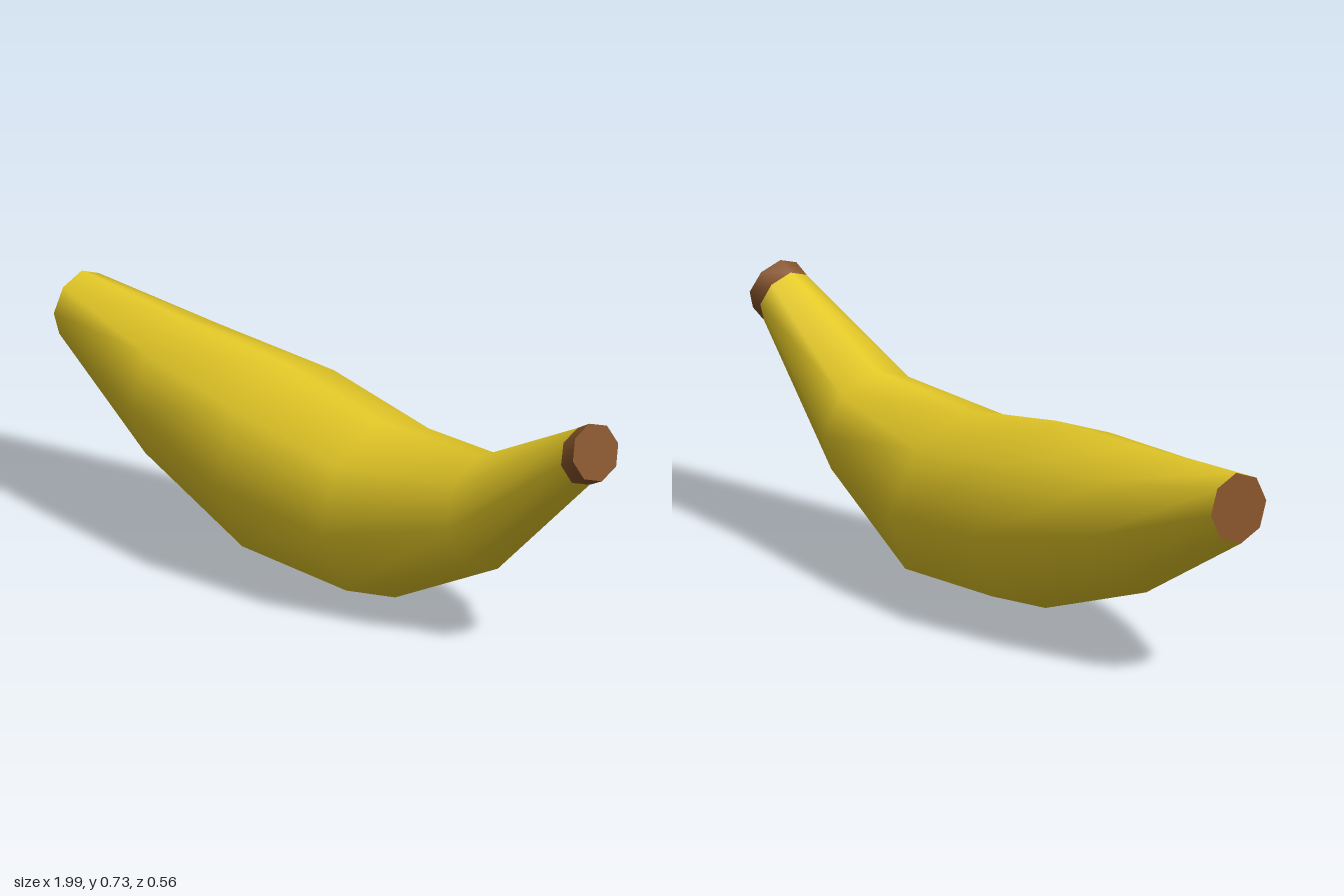
import * as THREE from 'three';

const SIDES = 8;

// Each ring: [topX, topY, bottomX, bottomY, halfWidth]
const BODY = [
  [-0.98, 0.63, -1.0, 0.43, 0.1],
  [-0.6, 0.6, -0.6, 0.18, 0.205],
  [-0.22, 0.577, -0.175, 0.02, 0.281],
  [0.15, 0.508, 0.208, 0.002, 0.262],
  [0.535, 0.518, 0.597, 0.2, 0.17],
  [0.9, 0.706, 0.945, 0.55, 0.09],
];
const STEM = [BODY[5], [0.943, 0.731, 0.992, 0.574, 0.09]];

function ringPoints([tx, ty, bx, by, w]) {
  const pts = [];
  for (let j = 0; j < SIDES; j++) {
    const a = (j / SIDES) * Math.PI * 2, c = Math.cos(a) / 2;
    pts.push((tx + bx) / 2 + c * (tx - bx), (ty + by) / 2 + c * (ty - by), Math.sin(a) * w);
  }
  return pts;
}

function build(positions, index) {
  const g = new THREE.BufferGeometry();
  g.setAttribute('position', new THREE.Float32BufferAttribute(positions, 3));
  g.setIndex(index);
  g.computeVertexNormals();
  return g;
}

// Smooth skin through a row of rings
function skin(rings) {
  const index = [];
  for (let i = 0; i < rings.length - 1; i++) {
    for (let j = 0; j < SIDES; j++) {
      const a = i * SIDES + j, b = i * SIDES + ((j + 1) % SIDES);
      index.push(a, b, a + SIDES, b, b + SIDES, a + SIDES);
    }
  }
  return build(rings.flatMap(ringPoints), index);
}

// Flat end face, facing +x or -x
function cap(ring, facesRight) {
  const index = [];
  for (let j = 1; j < SIDES - 1; j++) {
    index.push(0, ...(facesRight ? [j, j + 1] : [j + 1, j]));
  }
  return build(ringPoints(ring), index);
}

export function createModel() {
  const peel = new THREE.MeshStandardMaterial({ color: 0xe6ca28 });
  peel.name = 'yellowPeel';
  const brown = new THREE.MeshStandardMaterial({ color: 0x85532a });
  brown.name = 'brownStem';

  const group = new THREE.Group();
  group.name = 'banana';
  const add = (name, geometry, material) => {
    const mesh = new THREE.Mesh(geometry, material);
    mesh.name = name;
    group.add(mesh);
  };

  add('body', skin(BODY), peel);
  add('stem', skin(STEM), brown);
  add('stemEnd', cap(STEM[1], true), brown);
  add('blossomEnd', cap(BODY[0], false), brown);
  return group;
}
